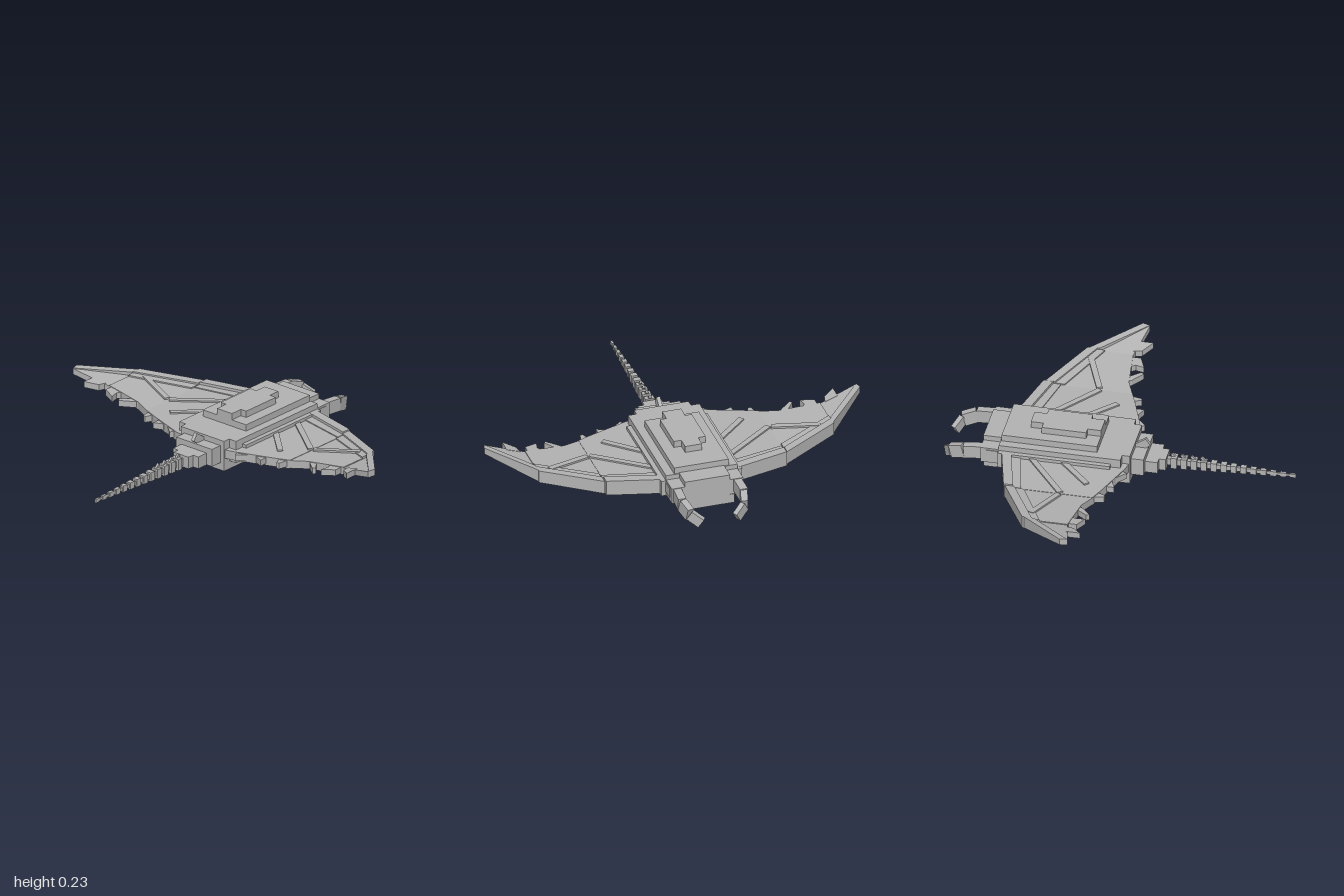
import * as THREE from 'three';

export function createModel() {
  const model = new THREE.Group();
  model.name = 'mantaCraft';
  const hull = new THREE.MeshStandardMaterial({ color: 0xb4b4b4, flatShading: true });
  hull.name = 'hullGrey';

  const add = (name, geo) => {
    const mesh = new THREE.Mesh(geo, hull);
    mesh.name = name;
    model.add(mesh);
    return mesh;
  };

  // Box given by its limits on each axis
  const block = (name, x0, x1, y0, y1, z0, z1) => {
    const mesh = add(name, new THREE.BoxGeometry(x1 - x0, y1 - y0, z1 - z0));
    mesh.position.set((x0 + x1) / 2, (y0 + y1) / 2, (z0 + z1) / 2);
    return mesh;
  };

  // Box stretched between two points
  const beam = (name, a, b, w, h) => {
    const p = new THREE.Vector3(...a), q = new THREE.Vector3(...b);
    const mesh = add(name, new THREE.BoxGeometry(w, h, p.distanceTo(q)));
    mesh.position.copy(p).add(q).multiplyScalar(0.5);
    mesh.lookAt(q);
    return mesh;
  };

  // Height of the wing's middle surface, rising towards the tip
  const bend = [[0, 0.095], [0.48, 0.095], [0.785, 0.126], [1.01, 0.184]];
  const wingY = (x) => {
    const i = x < 0.48 ? 0 : x < 0.785 ? 1 : 2;
    const [a, b] = [bend[i], bend[i + 1]];
    return a[1] + (b[1] - a[1]) * (x - a[0]) / (b[0] - a[0]);
  };

  // Flat outline in x and z, thickened about the wing surface
  const wingPlate = (name, side, pts, lo, hi) => {
    const shape = new THREE.Shape(pts.map(([x, z]) => new THREE.Vector2(x * side, -z)));
    const geo = new THREE.ExtrudeGeometry(shape, { depth: 1, bevelEnabled: false });
    geo.rotateX(-Math.PI / 2);
    const pos = geo.attributes.position;
    for (let i = 0; i < pos.count; i++) {
      const x = Math.abs(pos.getX(i));
      const bottom = typeof lo === 'function' ? lo(x) : lo;
      const top = typeof hi === 'function' ? hi(x) : hi;
      pos.setY(i, wingY(x) + (pos.getY(i) > 0.5 ? top : bottom));
    }
    geo.computeVertexNormals();
    add(name, geo);
  };

  // Narrow strip lying on the wing
  const rib = (side, [x0, z0], [x1, z1], w) => {
    const len = Math.hypot(x1 - x0, z1 - z0);
    const dx = -(z1 - z0) / len * w / 2, dz = (x1 - x0) / len * w / 2;
    wingPlate('wingRib', side, [[x0 + dx, z0 + dz], [x1 + dx, z1 + dz],
      [x1 - dx, z1 - dz], [x0 - dx, z0 - dz]], 0, 0.03);
  };

  // Body, stacked from keel to crest
  block('keel', -0.145, 0.145, 0, 0.05, -0.69, 0.07);
  block('body', -0.19, 0.19, 0.045, 0.165, -0.6, 0.03);
  block('bodyRear', -0.145, 0.145, 0.04, 0.165, -0.05, 0.07);
  block('sideRails', -0.215, 0.215, 0.05, 0.135, -0.6, -0.02);
  block('head', -0.12, 0.12, 0.04, 0.168, -0.695, -0.59);
  block('backPlate', -0.145, 0.145, 0.16, 0.2, -0.595, -0.1);
  block('crest', -0.085, 0.085, 0.195, 0.235, -0.4, -0.17);
  block('crestFront', -0.045, 0.045, 0.195, 0.235, -0.465, -0.4);
  block('crestRear', -0.05, 0.05, 0.195, 0.235, -0.17, -0.1);

  // Tail root steps and dorsal fin
  block('tailRootWide', -0.12, 0.12, 0.04, 0.135, 0.06, 0.135);
  block('tailRootMiddle', -0.085, 0.085, 0.04, 0.105, 0.13, 0.2);
  block('tailRootNarrow', -0.05, 0.05, 0.04, 0.105, 0.19, 0.235);
  beam('dorsalFin', [0, 0.125, 0.07], [0, 0.17, 0.135], 0.02, 0.045);

  // Tail of alternating thick and thin links
  const links = 13, start = 0.235, pitch = (0.9 - start) / links;
  for (let i = 0; i < links; i++) {
    const t = i / (links - 1), z = start + i * pitch;
    const w = 0.025 - 0.019 * t, h = 0.031 - 0.021 * t;
    block('tailJoint', -w * 0.55, w * 0.55, 0.07 - h * 0.6, 0.07 + h * 0.6, z, z + pitch * 0.5);
    block('tailLink', -w, w, 0.07 - h, 0.07 + h, z + pitch * 0.4, z + pitch);
    if (i < 4) {
      beam('tailSpine', [0, 0.085, z + pitch * 0.9], [0, 0.113, z + pitch * 0.4], 0.012, 0.014);
    }
  }

  for (const s of [1, -1]) {
    // Head cheeks, eye plates and curved horns
    block('cheek', Math.min(s * 0.12, s * 0.19), Math.max(s * 0.12, s * 0.19), 0.055, 0.14, -0.695, -0.59);
    block('eyePlate', s * 0.19 - 0.004, s * 0.19 + 0.004, 0.075, 0.13, -0.665, -0.605);
    const horn = [[0.16, 0.103, -0.685], [0.164, 0.095, -0.785], [0.145, 0.073, -0.855], [0.093, 0.034, -0.888]]
      .map(([x, y, z]) => [x * s, y, z]);
    for (let i = 0; i < 3; i++) {
      beam('horn', horn[i], horn[i + 1], [0.042, 0.036, 0.028][i], [0.07, 0.072, 0.055][i]);
    }

    // Wing skin in three panels
    wingPlate('innerWing', s, [[0.14, -0.55], [0.48, -0.48], [0.48, -0.052], [0.4, -0.02], [0.19, 0.055], [0.14, 0.065]], -0.025, 0.022);
    wingPlate('middleWing', s, [[0.48, -0.48], [0.785, -0.32], [0.785, -0.115], [0.57, -0.09], [0.48, -0.052]], -0.022, 0.02);
    wingPlate('outerWing', s, [[0.785, -0.32], [0.99, -0.1], [0.985, -0.072], [0.785, -0.115]], -0.016, 0.015);

    // Leading edge in three raised sections, each with a step behind it
    const edge = [
      [[0.2, -0.583], [0.48, -0.513], 0.041, 0.041],
      [[0.485, -0.505], [0.785, -0.35], 0.036, 0.034],
      [[0.785, -0.34], [1.0, -0.11], 0.034, 0.017],
    ];
    edge.forEach(([a, b, ha, hb], i) => {
      const h = (x) => ha + (hb - ha) * (x - a[0]) / (b[0] - a[0]);
      const back = i === 2 ? [[0.99, -0.072], [0.785, -0.29]] : [[b[0], b[1] + 0.05], [a[0], a[1] + 0.05]];
      wingPlate('leadingEdge', s, [a, b, ...back], (x) => -h(x), h);
      if (i < 2) {
        wingPlate('edgeStep', s, [back[1], back[0], [b[0], b[1] + 0.09], [a[0], a[1] + 0.1]], -0.03, 0.027);
      }
    });

    // Ribs fanning over the wing
    rib(s, [0.2, -0.43], [0.475, -0.22], 0.03);
    rib(s, [0.2, -0.265], [0.37, -0.105], 0.03);
    rib(s, [0.49, -0.225], [0.72, -0.32], 0.03);

    // Small fins along the trailing edge
    const fins = [
      [[0.2, 0.03], [0.22, 0.07], [0.28, 0.02], [0.29, -0.01]],
      [[0.3, -0.01], [0.31, 0.015], [0.36, 0.035], [0.36, -0.03]],
      [[0.42, -0.04], [0.44, 0.005], [0.455, 0.002], [0.47, -0.07]],
      [[0.57, -0.11], [0.59, -0.08], [0.65, -0.03], [0.66, -0.045], [0.61, -0.11]],
      [[0.69, -0.12], [0.71, -0.085], [0.7, -0.04], [0.77, -0.07], [0.77, -0.13]],
      [[0.81, -0.12], [0.82, -0.075], [0.88, -0.03], [0.88, -0.11]],
    ];
    for (const f of fins) wingPlate('trailingFin', s, f, -0.016, 0.017);
  }
  return model;
}
